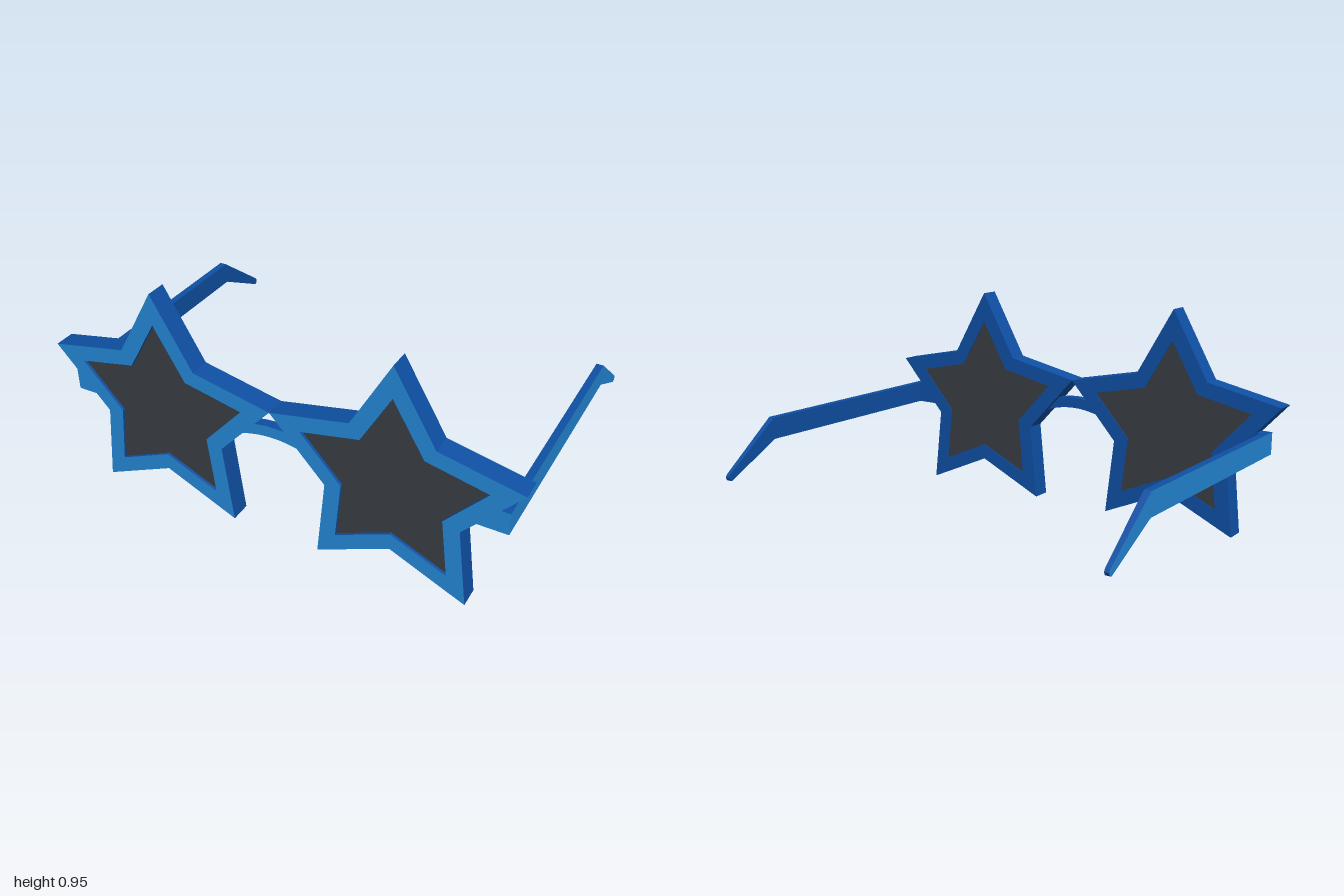
import * as THREE from 'three';

const bright = new THREE.MeshStandardMaterial({ color: 0x2385d2 });
bright.name = 'bright blue';
const deep = new THREE.MeshStandardMaterial({ color: 0x0e4fa3 });
deep.name = 'deep blue';
const smoke = new THREE.MeshStandardMaterial({ color: 0x383d42 });
smoke.name = 'smoke grey';

// Bright material on faces pointing along one of the directions, deep blue elsewhere
function twoTone(name, geometry, directions) {
  const geo = geometry.index ? geometry.toNonIndexed() : geometry;
  geo.computeVertexNormals();
  geo.clearGroups();
  const normal = new THREE.Vector3();
  for (let i = 0; i < geo.attributes.position.count; i += 3) {
    normal.fromBufferAttribute(geo.attributes.normal, i);
    const lit = directions.some((d) => normal.dot(d) > 0.97);
    geo.addGroup(i, 3, lit ? 0 : 1);
  }
  const mesh = new THREE.Mesh(geo, [bright, deep]);
  mesh.name = name;
  return mesh;
}

function starPoints(outer, inner) {
  return Array.from({ length: 10 }, (_, i) => {
    const a = Math.PI / 2 + (i * Math.PI) / 5;
    const r = i % 2 ? inner : outer;
    return new THREE.Vector2(r * Math.cos(a), r * Math.sin(a));
  });
}

const extrude = (shape, depth) =>
  new THREE.ExtrudeGeometry(shape, { depth, bevelEnabled: false, curveSegments: 16 });

const FRONT = new THREE.Vector3(0, 0, 1);
const STAR_Y = 0.425;

function starRim(side) {
  const shape = new THREE.Shape(starPoints(0.526, 0.286));
  shape.holes.push(new THREE.Path(starPoints(0.391, 0.214)));
  const rim = twoTone('starRim', extrude(shape, 0.085), [FRONT]);
  rim.position.set(side * 0.5, STAR_Y, 0.577);
  return rim;
}

function starLens(side) {
  const lens = new THREE.Mesh(extrude(new THREE.Shape(starPoints(0.391, 0.214)), 0.07), smoke);
  lens.name = 'starLens';
  lens.position.set(side * 0.5, STAR_Y, 0.58);
  return lens;
}

// Side arm: profile drawn with u = -z, extruded across x, thinning to the ear tip
function templeArm(side) {
  const profile = [
    [-0.635, 0.375], [0.4, 0.375], [0.645, 0.24], [0.656, 0.243],
    [0.662, 0.256], [0.655, 0.268], [0.4, 0.47], [-0.635, 0.47],
  ].map(([u, v]) => new THREE.Vector2(u, v));
  const geo = extrude(new THREE.Shape(profile), 0.03);
  geo.translate(0, 0, -0.015).rotateY(Math.PI / 2);
  const pos = geo.attributes.position;
  for (let i = 0; i < pos.count; i++) {
    if (pos.getZ(i) < -0.5) pos.setX(i, pos.getX(i) * 0.65);
  }
  const arm = twoTone('templeArm', geo, [FRONT, new THREE.Vector3(side, 0, 0)]);
  arm.position.x = side * 0.927;
  return arm;
}

// Short block joining the arm to the star
function hinge(side) {
  const block = twoTone('hinge', new THREE.BoxGeometry(0.15, 0.095, 0.05), [FRONT]);
  block.position.set(side * 0.838, 0.4225, 0.61);
  return block;
}

// Arched nose bridge
function bridge() {
  const shape = new THREE.Shape();
  shape.moveTo(-0.17, 0.42);
  shape.quadraticCurveTo(0, 0.49, 0.17, 0.42);
  shape.lineTo(0.17, 0.465);
  shape.quadraticCurveTo(0, 0.541, -0.17, 0.465);
  const mesh = twoTone('noseBridge', extrude(shape, 0.04), [FRONT]);
  mesh.position.z = 0.6;
  return mesh;
}

export function createModel() {
  const model = new THREE.Group();
  model.name = 'starGlasses';
  for (const side of [-1, 1]) {
    model.add(starRim(side), starLens(side), templeArm(side), hinge(side));
  }
  model.add(bridge());
  return model;
}
